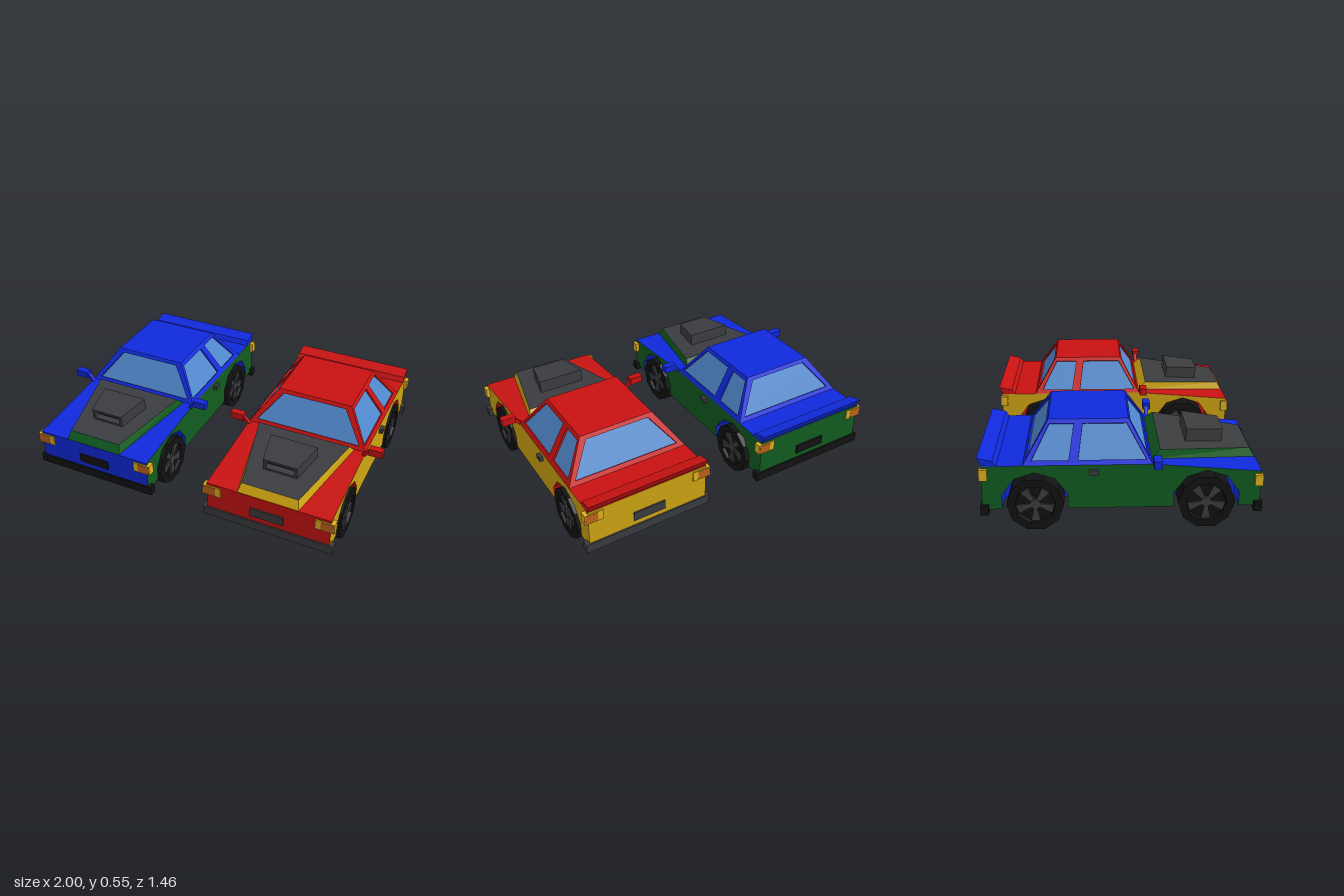
import * as THREE from 'three';

const V = (x, y, z) => new THREE.Vector3(x, y, z);
const mat = (color) => new THREE.MeshStandardMaterial({ color, flatShading: true, side: THREE.DoubleSide });
const GLASS = mat(0x4f88cc), GREY = mat(0x3b3c3f), BLACK = mat(0x121212), LAMP = mat(0xe0b222), ORANGE = mat(0xc0621a);

const W = 0.355, FRONT = 0.72, REAR = -0.712, LOW = 0.115, BELT = 0.357, NOSE = 0.31;
const COWL = 0.16, ROOF = 0.555, ROOF_W = 0.218, WELL_IN = 0.225, AXLE = 0.441, HUB = 0.141;

function add(parent, name, geometry, material, x = 0, y = 0, z = 0) {
  const m = new THREE.Mesh(geometry, material);
  m.name = name;
  m.position.set(x, y, z);
  parent.add(m);
  return m;
}
const box = (parent, name, material, w, h, d, x, y, z) =>
  add(parent, name, new THREE.BoxGeometry(w, h, d), material, x, y, z);

// faces from quads, each a list of four [x, y, z] corners, counter-clockwise seen from outside
function quads(list) {
  const p = [];
  for (const [a, b, c, d] of list) p.push(...a, ...b, ...c, ...a, ...c, ...d);
  const g = new THREE.BufferGeometry();
  g.setAttribute('position', new THREE.Float32BufferAttribute(p, 3));
  g.computeVertexNormals();
  return g;
}
const shapeOf = (pts) => new THREE.Shape(pts.map(([x, y]) => new THREE.Vector2(x, y)));

// wheel arch outline as [z, y] points, running from front to back
function archPoints(zc) {
  const pts = [[zc + 0.168, LOW]];
  for (let i = 0; i < 5; i++) {
    const a = (18 + 36 * i) * Math.PI / 180;
    pts.push([zc + 0.177 * Math.cos(a), HUB + 0.177 * Math.sin(a)]);
  }
  pts.push([zc - 0.168, LOW]);
  return pts;
}

function buildBody(car, main, second) {
  // nose, hood and rear deck
  add(car, 'noseAndDeck', quads([
    [[-W, LOW, FRONT], [W, LOW, FRONT], [W, NOSE, FRONT], [-W, NOSE, FRONT]],
    [[-W, NOSE, FRONT], [W, NOSE, FRONT], [W, BELT, COWL], [-W, BELT, COWL]],
    [[-W, BELT, COWL], [W, BELT, COWL], [W, BELT, REAR], [-W, BELT, REAR]],
  ]), main);
  add(car, 'rearPanel', quads([[[W, LOW, REAR], [-W, LOW, REAR], [-W, BELT, REAR], [W, BELT, REAR]]]), second);

  // side panels with arches cut out
  const outline = [[FRONT, LOW], ...archPoints(AXLE), ...archPoints(-AXLE),
    [REAR, LOW], [REAR, BELT], [COWL, BELT], [FRONT, NOSE]];
  for (const s of [1, -1]) {
    const g = new THREE.ShapeGeometry(shapeOf(outline.map(([z, y]) => [-s * z, y])));
    add(car, 'sidePanel', g, second, s * W).rotation.y = s * Math.PI / 2;
    // wheel wells: rim ribbon and inner wall
    for (const zc of [AXLE, -AXLE]) {
      const pts = archPoints(zc), strips = [];
      for (let i = 0; i < pts.length - 1; i++) {
        const [z0, y0] = pts[i], [z1, y1] = pts[i + 1];
        strips.push([[s * W, y0, z0], [s * W, y1, z1], [s * WELL_IN, y1, z1], [s * WELL_IN, y0, z0]]);
      }
      add(car, 'wheelWell', quads(strips), main);
      const wall = new THREE.ShapeGeometry(shapeOf(pts.map(([z, y]) => [-s * z, y])));
      add(car, 'wellWall', wall, main, s * WELL_IN).rotation.y = s * Math.PI / 2;
    }
  }

  // floor with openings under the wheels
  const notch = (s, zc) => [[s * W, zc - s * 0.168], [s * WELL_IN, zc - s * 0.168],
    [s * WELL_IN, zc + s * 0.168], [s * W, zc + s * 0.168]];
  const floor = shapeOf([[-W, REAR], [W, REAR], ...notch(1, -AXLE), ...notch(1, AXLE),
    [W, FRONT], [-W, FRONT], ...notch(-1, AXLE), ...notch(-1, -AXLE)]);
  add(car, 'floor', new THREE.ShapeGeometry(floor), BLACK, 0, LOW).rotation.x = Math.PI / 2;
}

// sloped cabin wall with recessed glass; points are [distance along u, fraction of height]
function cabinWall(car, name, material, u, base, top, outline, windows) {
  const up = top.clone().sub(base), len = up.length(), depth = 0.014;
  up.normalize();
  const n = u.clone().cross(up);
  const place = (mesh, inset) => {
    mesh.quaternion.setFromRotationMatrix(new THREE.Matrix4().makeBasis(u, up, n));
    mesh.position.copy(base).addScaledVector(n, -inset);
  };
  const scaled = (pts) => pts.map(([a, f]) => [a, f * len]);
  const wall = shapeOf(scaled(outline));
  for (const w of windows) {
    wall.holes.push(shapeOf(scaled(w)));
    place(add(car, name + 'Glass', new THREE.ShapeGeometry(shapeOf(scaled(w))), GLASS), depth - 0.003);
  }
  place(add(car, name, new THREE.ExtrudeGeometry(wall, { depth, bevelEnabled: false }), material), depth);
}

function buildCabin(car, main) {
  const zf = COWL, zr = -0.5, tf = 0.043, tr = -0.37, lo = 0.11, hi = 0.9;
  for (const s of [1, -1]) {
    const flip = (pts) => pts.map(([z, f]) => [-s * z, f]);
    cabinWall(car, 'cabinSide', main, V(0, 0, -s), V(s * W, BELT, 0), V(s * ROOF_W, ROOF, 0),
      flip([[zf, 0], [tf, 1], [tr, 1], [zr, 0]]), [
        flip([[0.13, lo], [0.033, hi], [-0.193, hi], [-0.217, lo]]),
        flip([[-0.267, lo], [-0.24, hi], [-0.365, hi], [-0.455, lo]]),
      ]);
  }
  const ends = [[-W, 0], [W, 0], [ROOF_W, 1], [-ROOF_W, 1]];
  const pane = [[-0.31, lo], [0.31, lo], [0.188, hi], [-0.188, hi]];
  cabinWall(car, 'windscreen', main, V(1, 0, 0), V(0, BELT, zf), V(0, ROOF, tf), ends, [pane]);
  cabinWall(car, 'rearWindow', main, V(-1, 0, 0), V(0, BELT, zr), V(0, ROOF, tr), ends, [pane]);
  add(car, 'roof', quads([[[-ROOF_W, ROOF, tf], [ROOF_W, ROOF, tf], [ROOF_W, ROOF, tr], [-ROOF_W, ROOF, tr]]]), main);
}

function buildHood(car, second) {
  // raised hood: coloured flanks and a grey top
  const b = [[-0.174, NOSE, 0.718], [0.174, NOSE, 0.718], [0.29, BELT, 0.16], [-0.29, BELT, 0.16]];
  const t = [[-0.162, 0.357, 0.69], [0.162, 0.357, 0.69], [0.272, 0.4, 0.205], [-0.272, 0.4, 0.205]];
  add(car, 'hoodFlanks', quads(b.map((p, i) => [p, b[(i + 1) % 4], t[(i + 1) % 4], t[i]])), second);
  add(car, 'hoodTop', quads([t]), GREY);

  // air scoop, widening to the back, with an open mouth
  const scoop = new THREE.Group();
  scoop.name = 'airScoop';
  scoop.position.set(0, 0.37, 0.549);
  scoop.rotation.x = 0.088;
  const frame = shapeOf([[-0.098, -0.005], [0.098, -0.005], [0.098, 0.07], [-0.098, 0.07]]);
  frame.holes.push(shapeOf([[-0.083, 0.012], [0.083, 0.012], [0.083, 0.055], [-0.083, 0.055]]));
  const g = new THREE.ExtrudeGeometry(frame, { depth: 0.2, bevelEnabled: false });
  g.translate(0, 0, -0.2);
  const p = g.attributes.position;
  for (let i = 0; i < p.count; i++) p.setX(i, p.getX(i) * (1 - p.getZ(i) * 2.04));
  g.computeVertexNormals();
  add(scoop, 'scoopShell', g, GREY);
  box(scoop, 'scoopMouth', BLACK, 0.18, 0.05, 0.16, 0, 0.033, -0.118);
  box(scoop, 'scoopBack', GREY, 0.27, 0.07, 0.004, 0, 0.033, -0.198);
  car.add(scoop);
}

function buildWheel(car, s, z) {
  const wheel = new THREE.Group();
  wheel.name = 'wheel';
  wheel.position.set(s * 0.302, HUB, z);
  wheel.rotation.y = s > 0 ? 0 : Math.PI;
  const profile = [[0, -0.062], [0.148, -0.062], [0.148, 0.062], [0.105, 0.062], [0.1, 0.045], [0, 0.045]];
  const tyre = new THREE.LatheGeometry(profile.map(([r, y]) => new THREE.Vector2(r, y)), 10);
  add(wheel, 'tyre', tyre, BLACK).rotation.z = -Math.PI / 2;
  const spoke = shapeOf([[-0.009, 0.02], [0.009, 0.02], [0.024, 0.096], [-0.024, 0.096]]);
  for (let i = 0; i < 5; i++) {
    const g = new THREE.ExtrudeGeometry(spoke, { depth: 0.01, bevelEnabled: false });
    g.rotateZ(Math.PI + i * Math.PI * 0.4);
    add(wheel, 'spoke', g, GREY, 0.044).rotation.y = Math.PI / 2;
  }
  add(wheel, 'hub', new THREE.CylinderGeometry(0.028, 0.028, 0.014, 10), GREY, 0.05).rotation.z = Math.PI / 2;
  car.add(wheel);
}

function buildFittings(car, main, trim) {
  // bumpers and plates
  box(car, 'frontBumper', trim, 0.754, 0.053, 0.042, 0, 0.118, 0.707);
  box(car, 'rearBumper', trim, 0.754, 0.053, 0.042, 0, 0.118, -0.7);
  box(car, 'frontPlate', trim, 0.19, 0.054, 0.012, 0, 0.207, 0.722);
  box(car, 'rearPlate', trim, 0.19, 0.054, 0.012, 0, 0.207, -0.715);

  for (const s of [1, -1]) {
    // corner lamps with orange centres
    for (const [end, y, z] of [['front', 0.266, 0.706], ['rear', 0.315, -0.698]]) {
      box(car, end + 'Lamp', LAMP, 0.106, 0.06, 0.042, s * 0.323, y, z);
      box(car, end + 'Indicator', ORANGE, 0.07, 0.052, 0.004, s * 0.336, y, z + Math.sign(z) * 0.0205);
    }
    box(car, 'doorHandle', GREY, 0.03, 0.028, 0.045, s * 0.361, 0.319, -0.138);
    // mirror on a slanted arm
    box(car, 'mirror', main, 0.08, 0.042, 0.042, s * 0.4175, 0.395, 0.18);
    box(car, 'mirrorArm', main, 0.075, 0.018, 0.022, s * 0.363, 0.368, 0.178).rotation.z = s * 0.85;
    buildWheel(car, s, AXLE);
    buildWheel(car, s, -AXLE);
  }

  // rear spoiler
  const lip = shapeOf([[0.63, BELT - 0.002], [0.65, 0.385], [0.728, 0.403], [0.704, BELT - 0.002]]);
  const g = new THREE.ExtrudeGeometry(lip, { depth: 2 * W, bevelEnabled: false });
  add(car, 'spoiler', g, main, -W).rotation.y = Math.PI / 2;
}

function buildCar(name, x, main, second, trim) {
  const car = new THREE.Group();
  car.name = name;
  car.position.x = x;
  buildBody(car, main, second);
  buildCabin(car, main);
  buildHood(car, second);
  buildFittings(car, main, trim);
  return car;
}

export function createModel() {
  const model = new THREE.Group();
  model.name = 'twoCars';
  model.add(buildCar('redCar', 0.5425, mat(0xc81212), mat(0xcfa512), GREY));
  model.add(buildCar('blueCar', -0.5425, mat(0x1029dc), mat(0x115c1f), BLACK));
  return model;
}
